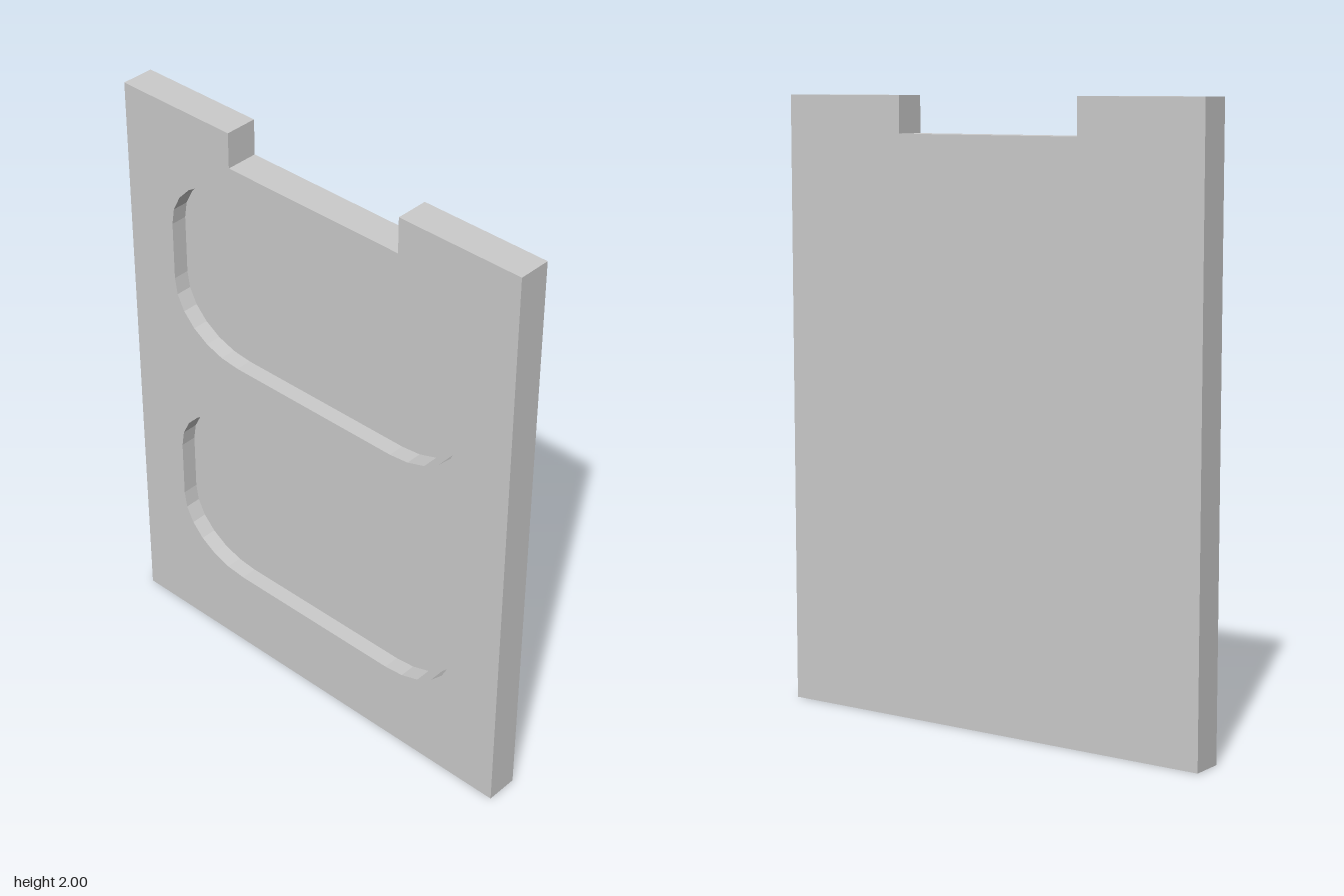
import * as THREE from 'three';
import { mergeGeometries } from 'three/addons/utils/BufferGeometryUtils.js';

const HALF_W = 0.777, TOP = 2, NOTCH_W = 0.335, NOTCH_Y = 1.88;
const FRONT = 0.055, BACK = -0.055, FLOOR = 0;
const CORNER_STEPS = 6;

// Counter-clockwise outline with elliptical corners
function roundedOutline(cy, halfW, halfH, rx, ry) {
  const points = [];
  [[1, 1], [-1, 1], [-1, -1], [1, -1]].forEach(([sx, sy], quarter) => {
    for (let i = 0; i <= CORNER_STEPS; i++) {
      const a = (quarter + i / CORNER_STEPS) * Math.PI / 2;
      points.push(new THREE.Vector2(
        sx * (halfW - rx) + rx * Math.cos(a),
        cy + sy * (halfH - ry) + ry * Math.sin(a)));
    }
  });
  return points;
}

// Flat face looking towards +z
function face(points, z, holes = []) {
  const shape = new THREE.Shape(points);
  shape.holes = holes.map((h) => new THREE.Path(h));
  return new THREE.ShapeGeometry(shape).translate(0, 0, z).toNonIndexed();
}

// Wall along a closed outline: counter-clockwise faces out, clockwise faces in
function wall(points, z0, z1) {
  const pos = [], uv = [];
  points.forEach((a, i) => {
    const b = points[(i + 1) % points.length];
    pos.push(a.x, a.y, z0, b.x, b.y, z0, b.x, b.y, z1);
    pos.push(a.x, a.y, z0, b.x, b.y, z1, a.x, a.y, z1);
    uv.push(0, 0, 1, 0, 1, 1, 0, 0, 1, 1, 0, 1);
  });
  const g = new THREE.BufferGeometry();
  g.setAttribute('position', new THREE.Float32BufferAttribute(pos, 3));
  g.setAttribute('uv', new THREE.Float32BufferAttribute(uv, 2));
  g.computeVertexNormals();
  return g;
}

export function createModel() {
  const group = new THREE.Group();
  group.name = 'notchedPanel';
  const material = new THREE.MeshStandardMaterial({ color: 0xcccccc, flatShading: true });
  const add = (name, parts) => {
    const mesh = new THREE.Mesh(mergeGeometries(parts), material);
    mesh.name = name;
    group.add(mesh);
  };

  // Slab outline with the notch in its top edge
  const outline = [
    [-HALF_W, 0], [HALF_W, 0], [HALF_W, TOP], [NOTCH_W, TOP], [NOTCH_W, NOTCH_Y],
    [-NOTCH_W, NOTCH_Y], [-NOTCH_W, TOP], [-HALF_W, TOP],
  ].map(([x, y]) => new THREE.Vector2(x, y));

  const recesses = [['lowerRecess', 0.605], ['upperRecess', 1.473]].map(([name, cy]) => ({
    name, points: roundedOutline(cy, 0.591, 0.321, 0.27, 0.22),
  }));

  // Slab: pierced front, plain back and outer edges
  add('panel', [
    face(outline, FRONT, recesses.map((r) => r.points)),
    face(outline, -BACK).rotateY(Math.PI),
    wall(outline, BACK, FRONT),
  ]);

  // Shallow rounded recesses sunk into the front
  for (const { name, points } of recesses) {
    add(name, [face(points, FLOOR), wall([...points].reverse(), FLOOR, FRONT)]);
  }
  return group;
}
